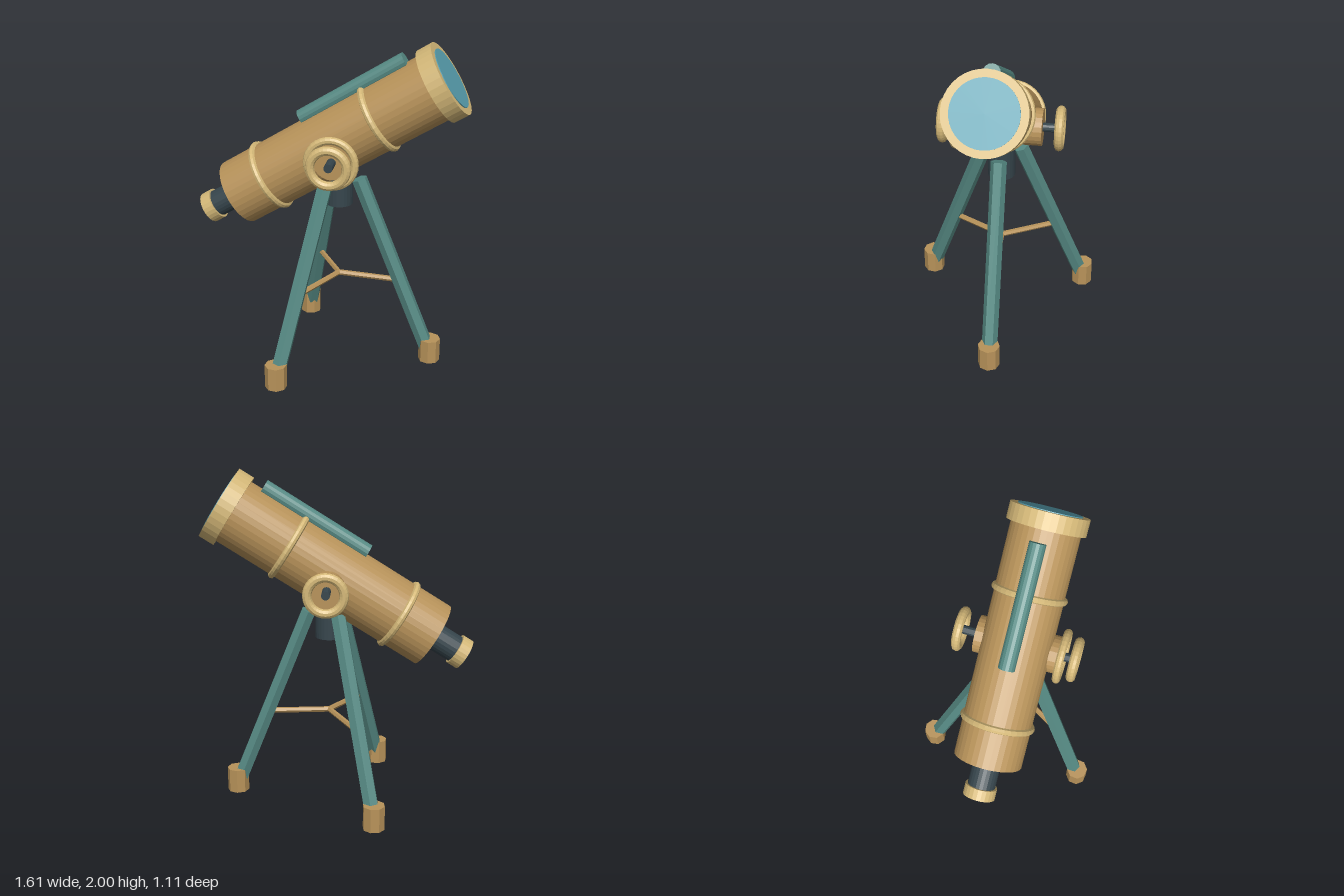
import * as THREE from 'three';

const mat = (color) => new THREE.MeshStandardMaterial({ color, flatShading: true });
const TAN = mat(0xb8935a), BRASS = mat(0xd4b878), TEAL = mat(0x568a84);
const DARK = mat(0x36454c), GLASS = mat(0x58a0b0);

const PIVOT = new THREE.Vector3(0.05, 1.35, 0);
const UP = new THREE.Vector3(0, 1, 0);

function add(parent, name, geometry, material) {
  const mesh = new THREE.Mesh(geometry, material);
  mesh.name = name;
  parent.add(mesh);
  return mesh;
}

// Cylinder running between two points
function rod(parent, name, a, b, radius, sides, material) {
  const dir = b.clone().sub(a);
  const mesh = add(parent, name, new THREE.CylinderGeometry(radius, radius, dir.length(), sides), material);
  mesh.position.copy(a).add(b).multiplyScalar(0.5);
  mesh.quaternion.setFromUnitVectors(UP, dir.normalize());
  return mesh;
}

// Tilted optical tube: local +x runs along the barrel towards the lens
function makeTube() {
  const tube = new THREE.Group();
  tube.name = 'opticalTube';
  tube.position.copy(PIVOT);
  tube.rotation.z = THREE.MathUtils.degToRad(32);
  const axisY = 0.054;
  const along = (name, x0, x1, r, material, sides = 36, y = axisY) =>
    rod(tube, name, new THREE.Vector3(x0, y, 0), new THREE.Vector3(x1, y, 0), r, sides, material);

  along('mainBarrel', -0.69, 0.72, 0.2, TAN);
  along('lensCollar', 0.685, 0.782, 0.228, BRASS);
  along('frontLens', 0.76, 0.787, 0.185, GLASS);
  along('eyepieceBarrel', -0.9, -0.68, 0.082, DARK, 24);
  along('eyepieceCollar', -0.92, -0.853, 0.095, BRASS, 24);
  along('eyepieceLens', -0.927, -0.9, 0.072, DARK, 24);
  along('finderScope', -0.1, 0.611, 0.048, TEAL, 16, 0.27);

  for (const x of [-0.453, 0.308]) {
    const band = add(tube, 'barrelBand', new THREE.TorusGeometry(0.2, 0.02, 8, 36), BRASS);
    band.position.set(x, axisY, 0);
    band.rotation.y = Math.PI / 2;
  }
  return tube;
}

// Cross axle with hand wheels
function makeAxle() {
  const axle = new THREE.Group();
  axle.name = 'axle';
  axle.position.copy(PIVOT);
  const across = (name, half, r, sides, material) =>
    rod(axle, name, new THREE.Vector3(0, 0, -half), new THREE.Vector3(0, 0, half), r, sides, material);
  across('trunnion', 0.24, 0.109, 24, TAN);
  across('shaft', 0.34, 0.026, 12, DARK);
  const wheels = [[0.338, 0.105, 0.027], [-0.338, 0.105, 0.027], [0.262, 0.138, 0.023]];
  for (const [z, r, t] of wheels) {
    add(axle, 'handWheel', new THREE.TorusGeometry(r, t, 10, 32), BRASS).position.z = z;
  }
  return axle;
}

// Three legs with feet and a Y-shaped brace
function makeTripod() {
  const tripod = new THREE.Group();
  tripod.name = 'tripod';
  tripod.position.x = PIVOT.x;
  rod(tripod, 'mountPost', new THREE.Vector3(0, 1.01, 0), new THREE.Vector3(0, 1.3, 0), 0.082, 24, DARK);

  for (let i = 0; i < 3; i++) {
    const leg = new THREE.Group();
    leg.name = 'leg';
    leg.rotation.y = (i * Math.PI * 2) / 3;
    rod(leg, 'legShaft', new THREE.Vector3(0.55, 0.09, 0), new THREE.Vector3(0.12, 1.17, 0), 0.047, 6, TEAL);
    rod(leg, 'foot', new THREE.Vector3(0.57, 0, 0), new THREE.Vector3(0.57, 0.147, 0), 0.066, 8, TAN);
    rod(leg, 'braceRod', new THREE.Vector3(0, 0.545, 0), new THREE.Vector3(0.37, 0.53, 0), 0.017, 6, TAN);
    tripod.add(leg);
  }
  return tripod;
}

export function createModel() {
  const model = new THREE.Group();
  model.name = 'telescope';
  model.add(makeTube(), makeAxle(), makeTripod());
  return model;
}
